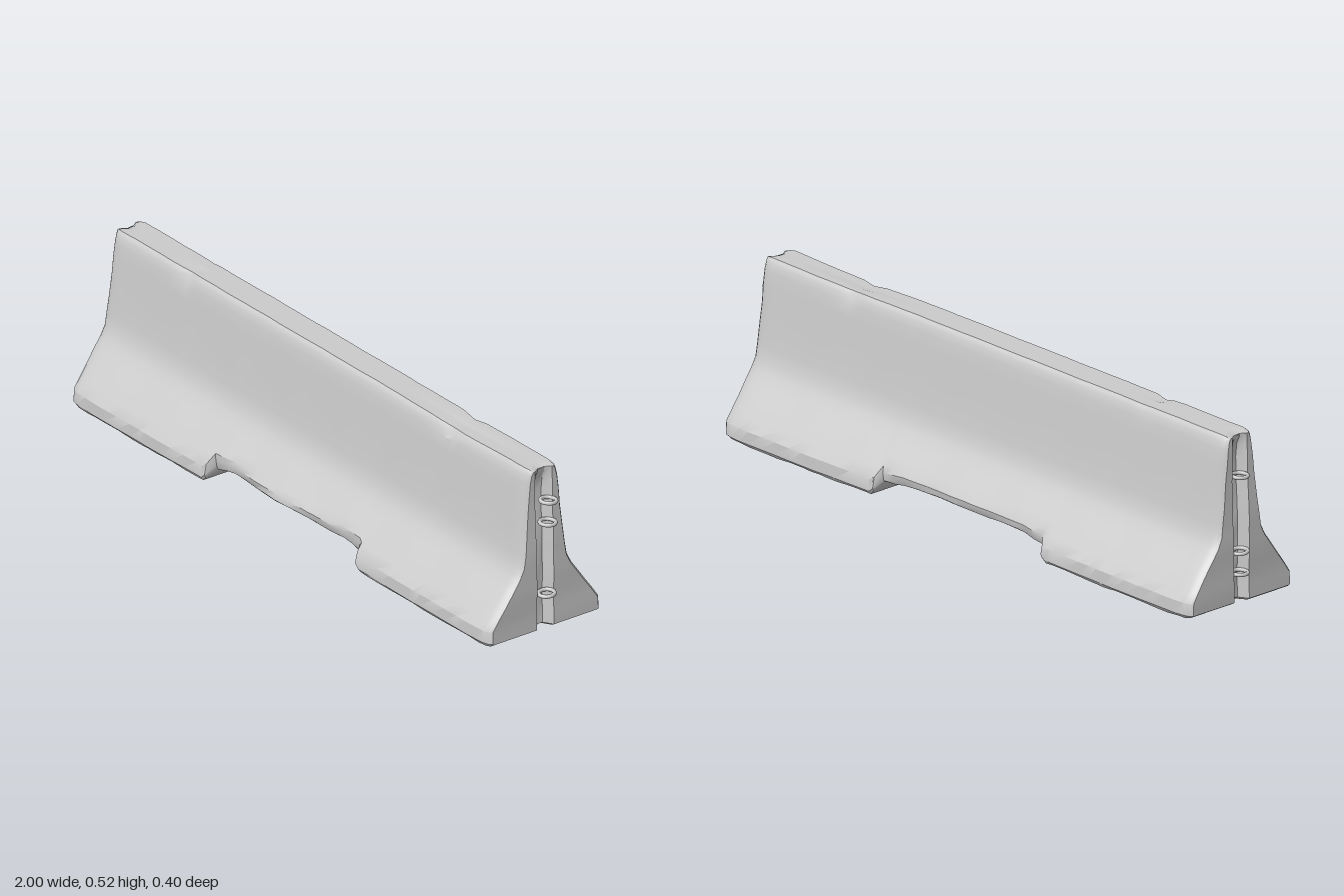
import * as THREE from 'three';
import { mergeVertices, toCreasedNormals } from 'three/addons/utils/BufferGeometryUtils.js';

const material = new THREE.MeshStandardMaterial({ color: 0xcccccc });

// Stations along half the length, levels up the height, columns across the width
const STATIONS = [0, .05, .1, .15, .2, .25, .29, .32, .335, .35, .365, .39, .45, .51, .55,
  .58, .6, .62, .65, .7, .76, .82, .87, .91, .945, .965, .975];
const LEVELS = [0.008, 0.022, 0.06, 0.09, 0.13, 0.17, 0.2, 0.23, 0.27, 0.32, 0.39, 0.45, 0.49, 0.513, 0.523, 0.529];
const COLUMNS = [0, 0.012, 0.02, 0.03];
const OUTER = [0.5, 1];

// Half width against height
const PROFILE = [[0, .192], [.02, .2], [.06, .2], [.09, .181], [.2, .103], [.23, .088],
  [.29, .078], [.39, .068], [.49, .058], [.513, .054], [.523, .049], [.53, .043]];
// Underside height against distance from the middle
const UNDERSIDE = [[0, .067], [.25, .065], [.335, .05], [.36, .011], [.6, .007], [.9, .007], [.975, .012]];
// Rounding of the ends
const END_INSET = [[0, 0], [.945, 0], [.965, .004], [.975, .012]];

function lookup(table, v) {
  if (v <= table[0][0]) return table[0][1];
  for (let i = 1; i < table.length; i++) {
    const [a, fa] = table[i - 1], [b, fb] = table[i];
    if (v <= b) return fa + (fb - fa) * (v - a) / (b - a);
  }
  return table[table.length - 1][1];
}

const bump = (v, centre, width) => Math.exp(-(((v - centre) / width) ** 2));

// Gentle unevenness of worn concrete
const wear = (x, y, k) => 0.5 * Math.sin(23 * x + 9 * y + k) + 0.3 * Math.sin(51 * x - 31 * y + 2.3 * k)
  + 0.2 * Math.sin(97 * x + 5 * k);

function createBody() {
  const nx = (STATIONS.length - 1) * 2, ny = LEVELS.length - 1;
  const side = COLUMNS.length - 1 + OUTER.length;
  const box = new THREE.BoxGeometry(2, 2, 2, nx, ny, side * 2);
  box.deleteAttribute('uv');
  box.deleteAttribute('normal');
  const geometry = mergeVertices(box);
  const pos = geometry.attributes.position;

  for (let n = 0; n < pos.count; n++) {
    const i = Math.round(pos.getX(n) * nx / 2);
    const j = Math.round((pos.getY(n) + 1) * ny / 2);
    const k = Math.round(pos.getZ(n) * side);
    const sx = Math.sign(i), sz = Math.sign(k);
    const ax = STATIONS[Math.abs(i)];
    let x = sx * ax;
    const inset = lookup(END_INSET, ax);

    // Height, with the lower levels squeezed up over the drainage notch
    const level = LEVELS[j];
    let y = level;
    if (level < 0.13) {
      const low = lookup(UNDERSIDE, ax);
      y = low + (level - LEVELS[0]) / (0.13 - LEVELS[0]) * (0.13 - low);
    }
    const edge = j >= ny - 2 ? 1 : 0;
    const foot = j <= 2 ? 1 : 0;
    let half = lookup(PROFILE, y) - inset + 0.001 * wear(x, y, sz);
    if (j === 0) half -= 0.004;

    // Broken lower edge in the notch
    if (ax < 0.345 && foot) {
      const lip = sz > 0 ? 0.163 + 0.014 * bump(x, -0.02, 0.14) : 0.168;
      half = Math.min(half, lip + 0.004 * j + 0.003 * wear(x, 0, 3 + sz));
    }

    // Nicks along the top and foot edges
    const nick = bump(x, -0.62, 0.025) * (sz > 0 ? 1 : 0.3) + bump(x, 0.6, 0.03) * 0.8;
    if (edge) {
      half -= 0.007 * nick + 0.001 * (1 + wear(x, 0, sz));
      y -= 0.005 * nick + 0.006 * bump(x, 0.65, 0.2) * (sz < 0 ? 0.4 : 1);
    }
    if (j === 0) y += 0.003 * (1 + wear(x, 0, sz));
    if (j === ny) y -= inset * 0.7;
    if (j === 0) y += inset * 0.7;

    // Columns near the middle keep their place, outer ones follow the profile
    const ak = Math.abs(k), last = COLUMNS.length - 1;
    const z = ak <= last ? COLUMNS[ak] : COLUMNS[last] + (half - COLUMNS[last]) * OUTER[ak - last - 1];

    // Ends: vertical groove in the middle, slightly worn face
    const atEnd = THREE.MathUtils.smoothstep(ax, 0.8, 0.975);
    const groove = 0.03 * (1 - THREE.MathUtils.smoothstep(z, 0.012, 0.03))
      * (1 - 0.6 * THREE.MathUtils.smoothstep(y, 0.47, 0.52));
    const worn = 0.008 * THREE.MathUtils.smoothstep(y, 0.2, 0.42) + 0.003 * wear(0.3 * sx, y * 1.5, sz);
    x -= sx * atEnd * (groove + worn);

    pos.setXYZ(n, x - 0.005, y, sz * z);
  }
  const mesh = new THREE.Mesh(toCreasedNormals(geometry, 0.55), material);
  mesh.name = 'concreteBarrier';
  return mesh;
}

// Steel connecting loop standing out of an end groove
function createLoop(name, end, y, z, tilt) {
  const loop = new THREE.Mesh(new THREE.TorusGeometry(0.023, 0.006, 8, 24), material);
  loop.rotation.set(Math.PI / 2 + tilt, 0, 0);
  loop.position.set(end, y, z);
  loop.name = name;
  return loop;
}

export function createModel() {
  const group = new THREE.Group();
  group.name = 'roadBarrier';
  group.add(createBody());
  [[0.425, -0.009, -0.08], [0.356, -0.007, -0.06], [0.132, -0.003, 0.04]].forEach(([y, z, tilt], i) =>
    group.add(createLoop(`leftLoop${i + 1}`, 0.971, y, z, tilt)));
  [[0.402, 0, 0.05], [0.172, 0, -0.04], [0.107, 0, 0.04]].forEach(([y, z, tilt], i) =>
    group.add(createLoop(`rightLoop${i + 1}`, -0.971, y, z, tilt)));
  return group;
}
